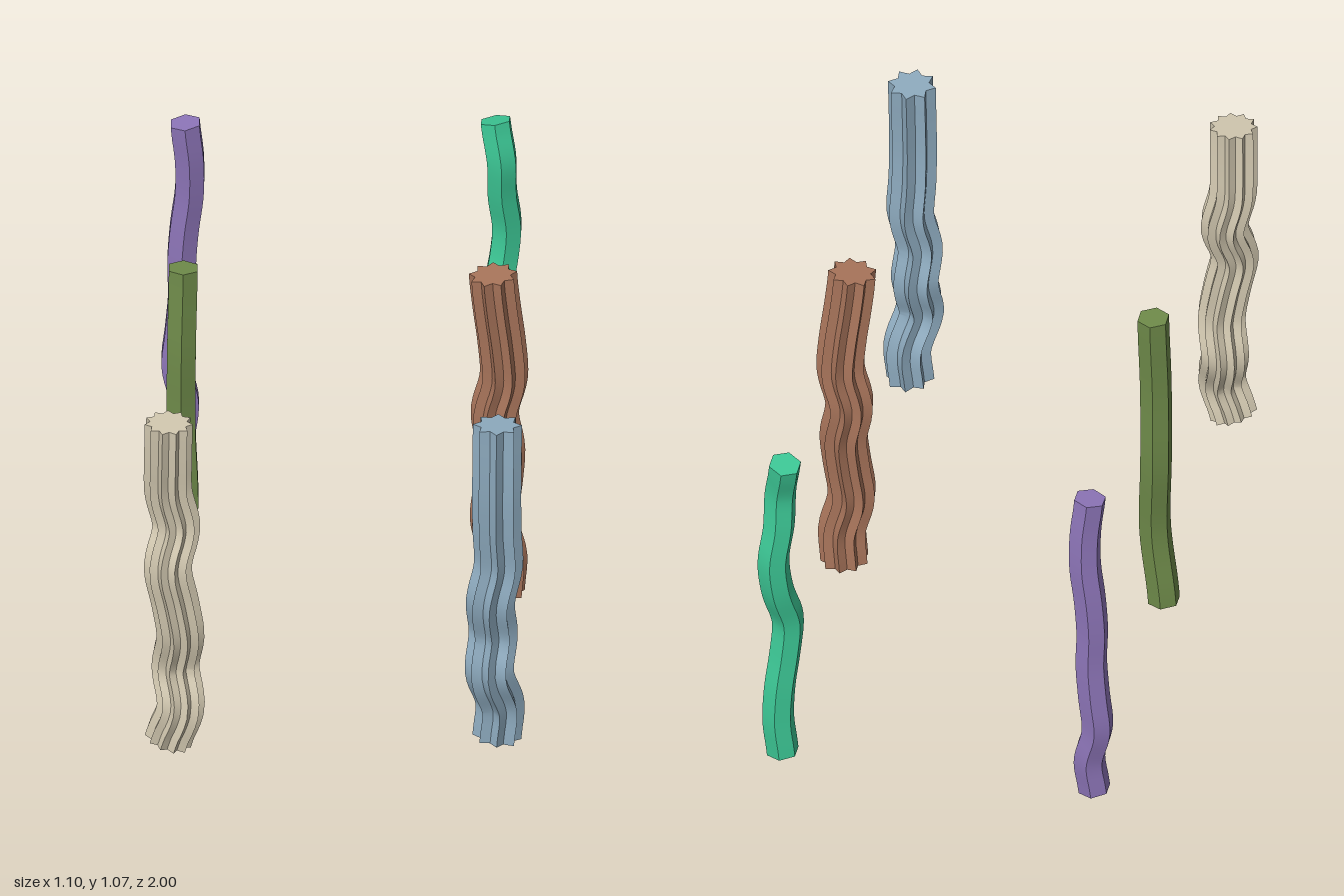
import * as THREE from 'three';
import { toCreasedNormals } from 'three/addons/utils/BufferGeometryUtils.js';

const BOTTOM = 0.025, TOP = 1.062; // heights of the centre line's ends

// Star outline when an inner radius is given, otherwise a regular polygon
function crossSection(points, outer, inner) {
  const n = inner ? points * 2 : points;
  const corners = [];
  for (let i = 0; i < n; i++) {
    const r = inner && i % 2 ? inner : outer;
    const a = (i / n) * Math.PI * 2;
    corners.push(new THREE.Vector2(Math.cos(a) * r, Math.sin(a) * r));
  }
  return new THREE.Shape(corners);
}

// Sideways drift in hundredths, evenly spaced from bottom to top
const drift = (values) => new THREE.SplineCurve(values.map((v, i) => new THREE.Vector2(i, v / 100)));

// Sweep a cross-section up a wavy centre line standing at (x, z)
function wavyColumn(name, color, section, x, z, driftX, driftZ) {
  const alongX = drift(driftX), alongZ = drift(driftZ);
  const path = [];
  for (let i = 0; i <= 27; i++) {
    const t = i / 27;
    path.push(new THREE.Vector3(
      alongX.getPoint(t).y, THREE.MathUtils.lerp(BOTTOM, TOP, t), alongZ.getPoint(t).y,
    ));
  }
  const geometry = new THREE.ExtrudeGeometry(section, {
    steps: 48, extrudePath: new THREE.CatmullRomCurve3(path), bevelEnabled: false,
  });
  const mesh = new THREE.Mesh(
    toCreasedNormals(geometry, 0.4), // smooth along the length, sharp along the ridges
    new THREE.MeshStandardMaterial({ color }),
  );
  mesh.name = name;
  mesh.position.set(x, 0, z);
  return mesh;
}

export function createModel() {
  const group = new THREE.Group();
  group.name = 'wavyColumns';
  const hexagon = crossSection(6, 0.048);
  group.add(
    // Fluted columns
    wavyColumn('frontRightFlutedColumn', 0xd2c8b0, crossSection(11, 0.07, 0.054), -0.46, 0.915,
      [-2, 1.7, 0.1, 1.6, 0, -2, 0.4, -1.9, -2, -1.8], [0.7, 1.5, -2, 0.3, 1, 1.5, -1.3, -1, 0, 0.7]),
    wavyColumn('frontLeftFlutedColumn', 0x8eabbf, crossSection(8, 0.071, 0.05), 0.465, 0.91,
      [0.5, 1.4, -1.6, -0.5, -1.3, 1, 0.6, 0.5, 0.6, 0.7], [-1.8, -1.7, 1.7, -0.7, 1.5, 0.5, 1.2, 1.7, 1.5, 1]),
    wavyColumn('middleLeftFlutedColumn', 0xa9755b, crossSection(9, 0.071, 0.052), 0.46, 0,
      [0.7, 1.4, -1.2, 0, 0.8, -1, 1.6, 1, -0.4, -1.5], [-0.6, 0.4, -1.5, -1.2, 0]),
    // Six-sided columns
    wavyColumn('middleRightHexColumn', 0x6f8b4a, hexagon, -0.46, 0,
      [-1.5, 1.2, 0.4, 0.5, 1], [0.2, 0.6, -1.8, -1.6, -2.8]),
    wavyColumn('backRightHexColumn', 0x8d75b8, hexagon, -0.465, -0.93,
      [-0.8, 0.5, -2, -1, -0.1, -0.3, 0.5, 1.9, 1.9, 0.7], [0.3, -1.1, -0.4, 0, 1.3]),
    wavyColumn('backLeftHexColumn', 0x3cc795, hexagon, 0.455, -0.935,
      [-1, 0.3, 0, -1.2, -1.8, 0.5, 1.6, 0.3, 0.1, -1.7], [-0.9, -0.9, -0.1, 1.5, 2.2, -0.7, -1.5, -0.1, 1.1, -1]),
  );
  return group;
}
